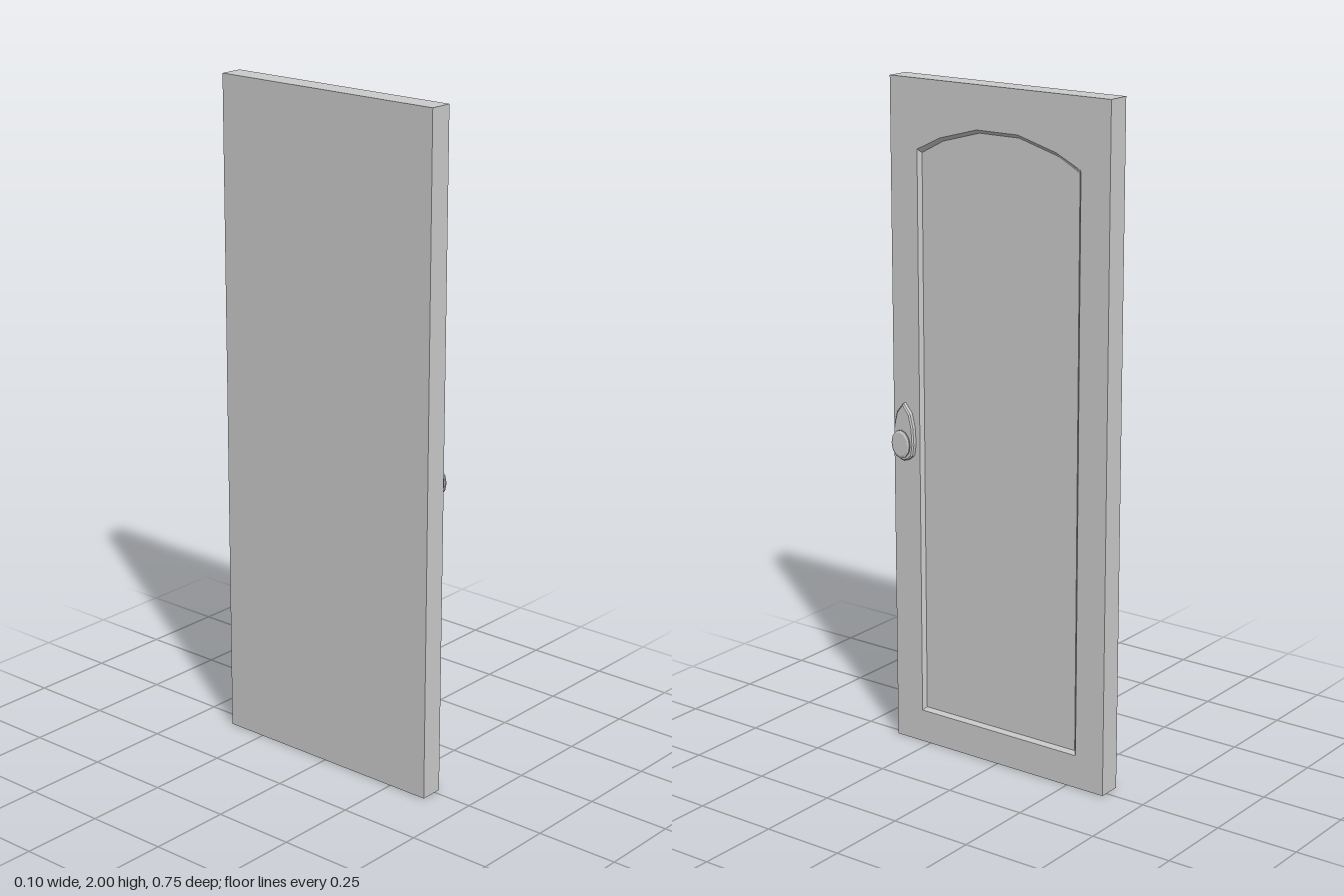
import * as THREE from 'three';

const material = new THREE.MeshStandardMaterial({ color: 0xcccccc, flatShading: true });
const FACE = 0.02, BACK = -0.05, RECESS = 0.01;
const HEIGHT = 2, HALF_WIDTH = 0.375;

function part(name, geometry, parent) {
  const mesh = new THREE.Mesh(geometry, material);
  mesh.name = name;
  parent.add(mesh);
  return mesh;
}

// Arched panel outline, counter-clockwise, shrunk by an inset
function archOutline(inset) {
  const half = [[0.28, 0.1], [0.28, 1.8], [0.198, 1.84], [0.07, 1.875]].map(([u, v], i) => [
    u - inset * (i === 3 ? 0.25 : i === 2 ? 0.4 : 1),
    v + (i === 0 ? inset : -inset),
  ]);
  const mirrored = half.map(([u, v]) => [-u, v]).reverse();
  return [...half, ...mirrored].map(([u, v]) => new THREE.Vector2(u, v));
}

// Sloping strip between two outlines at different depths
function bevelStrip(outer, inner, zOuter, zInner) {
  const positions = [];
  outer.forEach((a, i) => {
    const j = (i + 1) % outer.length;
    const b = outer[j], c = inner[j], d = inner[i];
    positions.push(a.x, a.y, zOuter, b.x, b.y, zOuter, c.x, c.y, zInner);
    positions.push(a.x, a.y, zOuter, c.x, c.y, zInner, d.x, d.y, zInner);
  });
  const geometry = new THREE.BufferGeometry();
  geometry.setAttribute('position', new THREE.Float32BufferAttribute(positions, 3));
  geometry.computeVertexNormals();
  return geometry;
}

export function createModel() {
  const model = new THREE.Group();
  model.name = 'door';

  // Drawn facing +z, then turned so the panelled face looks along +x
  const door = new THREE.Group();
  door.name = 'doorLeaf';
  door.rotation.y = Math.PI / 2;
  model.add(door);

  // Slab, whose face is the floor of the recessed panel
  const floor = FACE - RECESS;
  const slab = part('slab', new THREE.BoxGeometry(HALF_WIDTH * 2, HEIGHT, floor - BACK), door);
  slab.position.set(0, HEIGHT / 2, (floor + BACK) / 2);

  // Raised frame around the arched opening
  const rim = archOutline(0);
  const frame = new THREE.Shape([
    new THREE.Vector2(-HALF_WIDTH, 0), new THREE.Vector2(HALF_WIDTH, 0),
    new THREE.Vector2(HALF_WIDTH, HEIGHT), new THREE.Vector2(-HALF_WIDTH, HEIGHT),
  ]);
  frame.holes.push(new THREE.Path(rim));
  part('frame', new THREE.ExtrudeGeometry(frame, { depth: RECESS, bevelEnabled: false }), door)
    .position.z = floor;
  part('panelMoulding', bevelStrip(rim, archOutline(0.01), FACE, floor), door);

  // Handle: teardrop backplate and an oval knob
  const handle = new THREE.Group();
  handle.name = 'handle';
  handle.position.set(-0.331, 0.932, FACE);
  door.add(handle);

  const halfPlate = [[0.014, -0.045], [0.028, -0.033], [0.033, 0], [0.03, 0.05], [0.02, 0.09]];
  const plate = new THREE.Shape([
    new THREE.Vector2(0, -0.049),
    ...halfPlate.map(([u, v]) => new THREE.Vector2(u, v)),
    new THREE.Vector2(0, 0.115),
    ...halfPlate.map(([u, v]) => new THREE.Vector2(-u, v)).reverse(),
  ]);
  part('backplate', new THREE.ExtrudeGeometry(plate, {
    depth: 0.011, bevelThickness: 0.004, bevelSize: 0.004, bevelSegments: 1,
  }), handle);

  const knobProfile = [
    [0.018, 0.013], [0.008, 0.018], [0.012, 0.02], [0.028, 0.02],
    [0.033, 0.023], [0.033, 0.027], [0.027, 0.03], [0, 0.03],
  ].map(([r, h]) => new THREE.Vector2(r, h));
  const knob = part('knob', new THREE.LatheGeometry(knobProfile, 12), handle);
  knob.rotation.x = Math.PI / 2;
  knob.scale.z = 1.3;

  return model;
}
